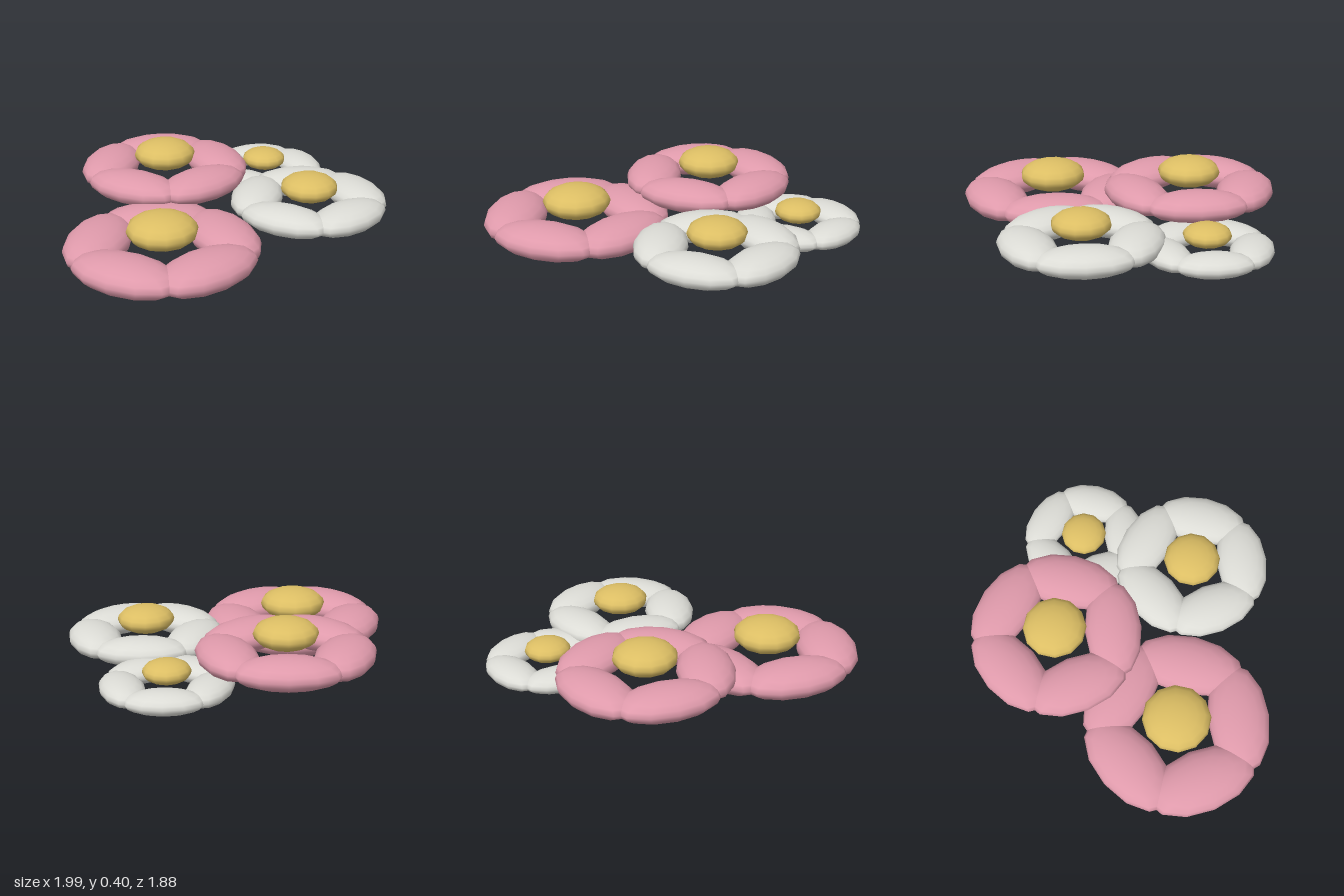
import * as THREE from 'three';

export function createModel() {
  const model = new THREE.Group();
  const mat = (name, color) => {
    const m = new THREE.MeshStandardMaterial({ color });
    m.name = name;
    return m;
  };
  const pink = mat('pink petal', 0xdf9aab);
  const white = mat('white petal', 0xdcdcd6);
  const gold = mat('golden centre', 0xdcbe64);

  // one low-resolution smooth sphere, stretched into every part
  const ball = new THREE.SphereGeometry(1, 12, 10);

  // a ring of five overlapping petals with a raised, flattened centre
  function flower(name, petalMaterial, x, y, z, s) {
    const group = new THREE.Group();
    group.name = name;
    for (let i = 0; i < 5; i++) {
      const a = (i * Math.PI * 2) / 5;
      const petal = new THREE.Mesh(ball, petalMaterial);
      petal.name = 'petal' + (i + 1);
      petal.scale.set(0.183, 0.096, 0.335);
      petal.position.set(Math.cos(a) * 0.37, 0, Math.sin(a) * 0.37);
      petal.rotation.y = -a;
      group.add(petal);
    }
    const centre = new THREE.Mesh(ball, gold);
    centre.name = 'centre';
    centre.scale.set(0.202, 0.095, 0.202);
    centre.position.y = 0.11;
    centre.rotation.y = Math.PI / 12;
    group.add(centre);
    group.position.set(x, y, z);
    group.scale.setScalar(s);
    model.add(group);
  }

  flower('largePinkFlower', pink, -0.455, 0.1, 0.38, 1);
  flower('raisedPinkFlower', pink, -0.11, 0.218, -0.43, 0.925);
  flower('largeWhiteFlower', white, 0.53, 0.157, 0.26, 0.84);
  flower('smallWhiteFlower', white, 0.58, 0.104, -0.43, 0.675);
  return model;
}
